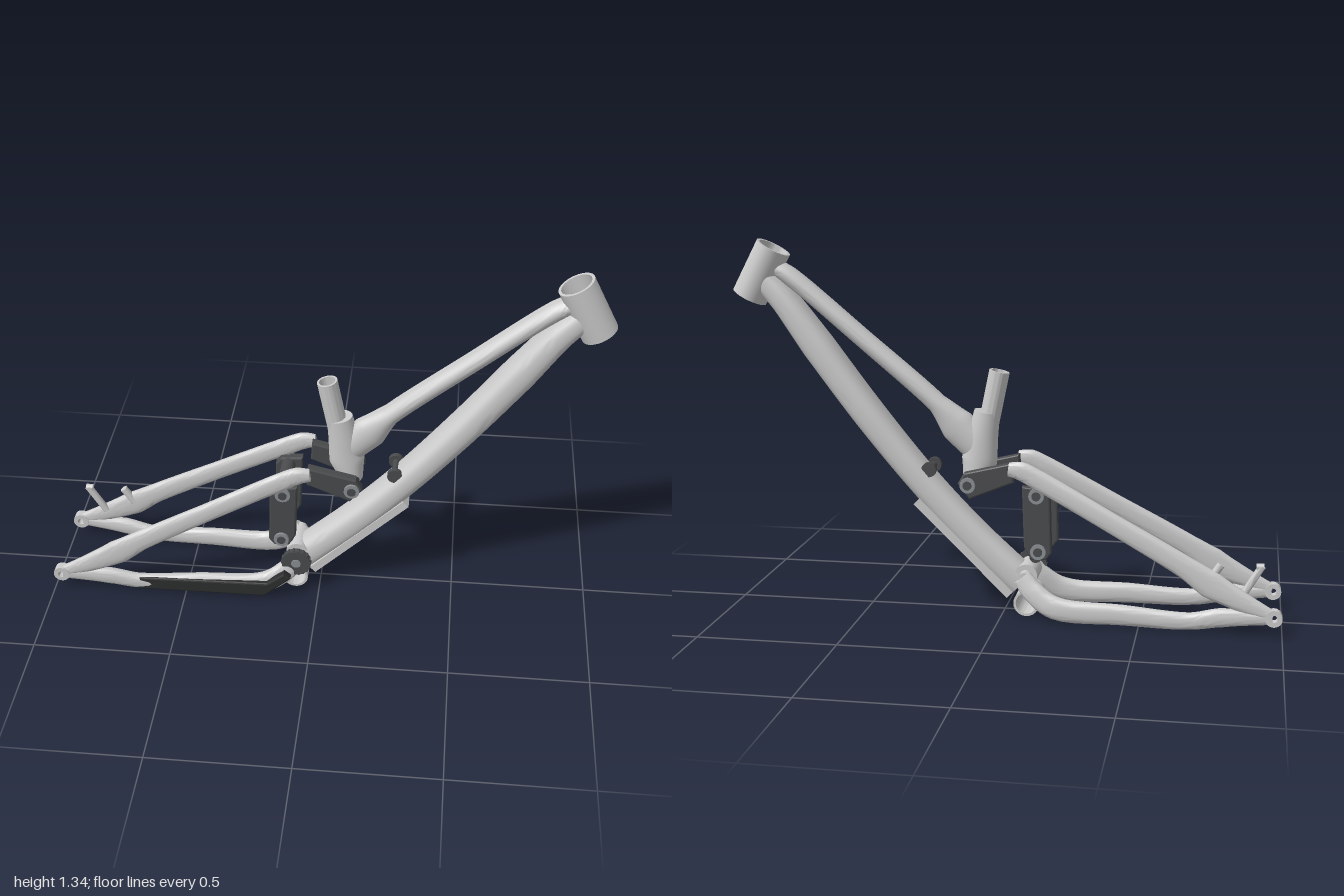
import * as THREE from 'three';
import { toCreasedNormals } from 'three/addons/utils/BufferGeometryUtils.js';

const paint = new THREE.MeshStandardMaterial({ color: 0xcccccc, side: THREE.DoubleSide });
const dark = new THREE.MeshStandardMaterial({ color: 0x4a4b4d });
const rubber = new THREE.MeshStandardMaterial({ color: 0x2c2d2e });
const steel = new THREE.MeshStandardMaterial({ color: 0x8c9094 });

// Tube through sections [x, y, z, half width in z, half height]; power < 1 squares it off
function loft(sections, power = 1, sides = 28, steps = 6) {
  const curve = new THREE.CatmullRomCurve3(sections.map(s => new THREE.Vector3(s[0], s[1], s[2])));
  const n = (sections.length - 1) * steps, pos = [], index = [];
  const bend = v => Math.sign(v) * Math.pow(Math.abs(v), power);
  for (let i = 0; i <= n; i++) {
    const t = i / n, p = curve.getPoint(t), d = curve.getTangent(t);
    const l = Math.hypot(d.x, d.y), k = Math.min(Math.floor(i / steps), sections.length - 2);
    const f = i / steps - k;
    const w = THREE.MathUtils.lerp(sections[k][3], sections[k + 1][3], f);
    const h = THREE.MathUtils.lerp(sections[k][4], sections[k + 1][4], f);
    for (let j = 0; j < sides; j++) {
      const a = j / sides * Math.PI * 2, c = bend(Math.cos(a)) * h, s = bend(Math.sin(a)) * w;
      pos.push(p.x - d.y / l * c, p.y + d.x / l * c, p.z + s);
    }
  }
  for (let i = 0; i < n; i++) for (let j = 0; j < sides; j++) {
    const a = i * sides + j, b = i * sides + (j + 1) % sides;
    index.push(a, b, a + sides, b, b + sides, a + sides);
  }
  for (let j = 1; j < sides - 1; j++) {
    index.push(0, j + 1, j);
    index.push(n * sides, n * sides + j, n * sides + j + 1);
  }
  const g = new THREE.BufferGeometry();
  g.setAttribute('position', new THREE.Float32BufferAttribute(pos, 3));
  g.setIndex(index);
  return toCreasedNormals(g, 0.7);
}

// Flat plate in the xy plane with softened edges, centred on z
function plate(points, z, depth) {
  const shape = new THREE.Shape(points.map(p => new THREE.Vector2(p[0], p[1])));
  const b = 0.006;
  const g = new THREE.ExtrudeGeometry(shape, {
    depth: depth - 2 * b, bevelEnabled: true, bevelThickness: b, bevelSize: b, bevelOffset: -b, bevelSegments: 2
  });
  return g.translate(0, 0, z - depth / 2 + b);
}

// Solid pin along z
function pin(x, y, z, r, length) {
  return new THREE.CylinderGeometry(r, r, length, 28).rotateX(Math.PI / 2).translate(x, y, z);
}

// Hollow sleeve along y
function sleeve(r, inner, length) {
  const h = length / 2;
  const profile = [[inner, -h], [r, -h], [r, h], [inner, h], [inner, -h]].map(p => new THREE.Vector2(...p));
  return toCreasedNormals(new THREE.LatheGeometry(profile, 40), 0.6);
}

export function createModel() {
  const model = new THREE.Group();
  model.name = 'bicycleFrame';
  const add = (name, geometry, material = paint) => {
    const mesh = new THREE.Mesh(geometry, material);
    mesh.name = name;
    model.add(mesh);
    return mesh;
  };

  // Front triangle
  const head = add('headTube', sleeve(0.065, 0.055, 0.204));
  head.position.set(0.897, 1.229, 0);
  head.rotation.z = 0.485;
  add('topTube', loft([
    [0.85, 1.25, 0, 0.04, 0.03], [0.79, 1.215, 0, 0.042, 0.034], [0.52, 0.993, 0, 0.042, 0.034],
    [0.25, 0.765, 0, 0.042, 0.036], [0.175, 0.685, 0, 0.042, 0.065], [0.1, 0.61, 0, 0.04, 0.06]
  ]));
  add('downTube', loft([
    [0.88, 1.2, 0, 0.055, 0.045], [0.81, 1.125, 0, 0.06, 0.048], [0.69, 0.965, 0, 0.066, 0.057],
    [0.5, 0.715, 0, 0.07, 0.056], [0.3, 0.475, 0, 0.068, 0.054],
    [0.12, 0.285, 0, 0.066, 0.056], [-0.065, 0.115, 0, 0.062, 0.058]
  ], 0.75));
  add('seatTubeBody', loft([
    [0.066, 0.74, 0, 0.043, 0.047], [0.082, 0.65, 0, 0.045, 0.056],
    [0.095, 0.56, 0, 0.046, 0.065], [0.115, 0.475, 0, 0.046, 0.04]
  ]));
  const seat = add('seatTubeSocket', sleeve(0.037, 0.029, 0.24));
  seat.position.set(0.045, 0.77, 0);
  seat.rotation.z = 0.2;

  // Guard under the down tube
  const guard = add('downTubeGuard', new THREE.BoxGeometry(0.48, 0.03, 0.126));
  guard.position.set(0.145, 0.243, 0);
  guard.rotation.z = 0.775;

  // Bottom bracket, pivot axle and lower mount
  const bracket = add('bottomBracket', sleeve(0.047, 0.038, 0.166));
  bracket.rotation.x = Math.PI / 2;
  bracket.position.set(-0.09, 0.053, 0);
  add('mainPivotAxle', pin(-0.085, 0.15, 0, 0.022, 0.2));
  add('mainPivotHousing', pin(-0.085, 0.15, 0, 0.042, 0.12));
  add('mainPivotCap', pin(-0.083, 0.15, 0.112, 0.054, 0.022), dark);
  add('mainPivotBolt', pin(-0.083, 0.15, 0.115, 0.018, 0.022), steel);
  for (let i = 0; i < 18; i++) {
    const a = i / 18 * Math.PI * 2;
    add('pivotCapTooth', pin(-0.083 + Math.cos(a) * 0.053, 0.15 + Math.sin(a) * 0.053, 0.112, 0.004, 0.02), dark);
  }
  add('lowerMount', pin(-0.12, 0.222, 0, 0.022, 0.12), dark);

  // Small cross pin on the upper side of the down tube
  add('shockMountPin', pin(0.272, 0.528, 0, 0.012, 0.11), dark);
  for (const s of [1, -1]) add('shockMountEnd', pin(0.272, 0.528, s * 0.047, 0.027, 0.018), dark);

  // Mirrored rear end and suspension links
  for (const s of [1, -1]) {
    add('seatStay', loft([
      [-0.03, 0.553, s * 0.11, 0.016, 0.025], [-0.075, 0.548, s * 0.112, 0.018, 0.034],
      [-0.14, 0.517, s * 0.115, 0.018, 0.036], [-0.4, 0.378, s * 0.132, 0.018, 0.036],
      [-0.66, 0.235, s * 0.147, 0.019, 0.04], [-0.75, 0.178, s * 0.152, 0.019, 0.05],
      [-0.86, 0.122, s * 0.158, 0.018, 0.036], [-0.965, 0.076, s * 0.163, 0.014, 0.022]
    ], 0.8));
    add('chainStay', loft([
      [-0.078, 0.155, s * 0.098, 0.016, 0.035], [-0.12, 0.105, s * 0.108, 0.022, 0.04],
      [-0.2, 0.055, s * 0.124, 0.024, 0.042], [-0.44, 0.046, s * 0.136, 0.022, 0.037],
      [-0.68, 0.04, s * 0.146, 0.021, 0.03], [-0.79, 0.06, s * 0.152, 0.021, 0.034],
      [-0.965, 0.07, s * 0.163, 0.014, 0.022]
    ], 0.8));
    const drop = add('rearDropout', sleeve(0.03, 0.013, 0.034));
    drop.rotation.x = Math.PI / 2;
    drop.position.set(-0.97, 0.072, s * 0.162);

    add('rockerLink', plate([
      [-0.04, 0.572], [0.135, 0.53], [0.158, 0.49], [0.115, 0.435], [-0.045, 0.5]
    ], s * 0.08, 0.038), dark);
    add('swingLink', plate([
      [-0.178, 0.46], [-0.158, 0.485], [-0.077, 0.492], [-0.085, 0.27], [-0.11, 0.225], [-0.165, 0.225], [-0.184, 0.25]
    ], s * 0.094, 0.034), dark);

    // Bolts with washers
    for (const [x, y, z] of [[0.12, 0.487, 0.1], [-0.13, 0.46, 0.111], [-0.137, 0.256, 0.111]]) {
      add('linkWasher', pin(x, y, s * z, 0.028, 0.018), steel);
      add('linkBolt', pin(x, y, s * (z + 0.003), 0.016, 0.02), dark);
    }
  }
  add('rockerAxle', pin(0.12, 0.487, 0, 0.024, 0.19), dark);
  add('upperLinkAxle', pin(-0.13, 0.46, 0, 0.027, 0.19), dark);
  add('lowerLinkAxle', pin(-0.137, 0.256, 0, 0.024, 0.19), dark);

  // Protector on the drive side chain stay
  add('chainStayProtector', plate([
    [-0.675, 0.066], [-0.685, 0.014], [-0.2, 0.016], [-0.1, 0.105], [-0.125, 0.125], [-0.19, 0.075]
  ], 0.148, 0.034), rubber);

  // Brake mounting posts
  const post = (x1, y1, x2, y2, r) =>
    add('brakeMount', loft([[x1, y1, -0.144, r, r], [x2, y2, -0.144, r, r]], 0.8, 16));
  post(-0.925, 0.25, -0.86, 0.14, 0.013);
  post(-0.932, 0.247, -0.905, 0.247, 0.012);
  post(-0.785, 0.25, -0.745, 0.19, 0.014);

  return model;
}
